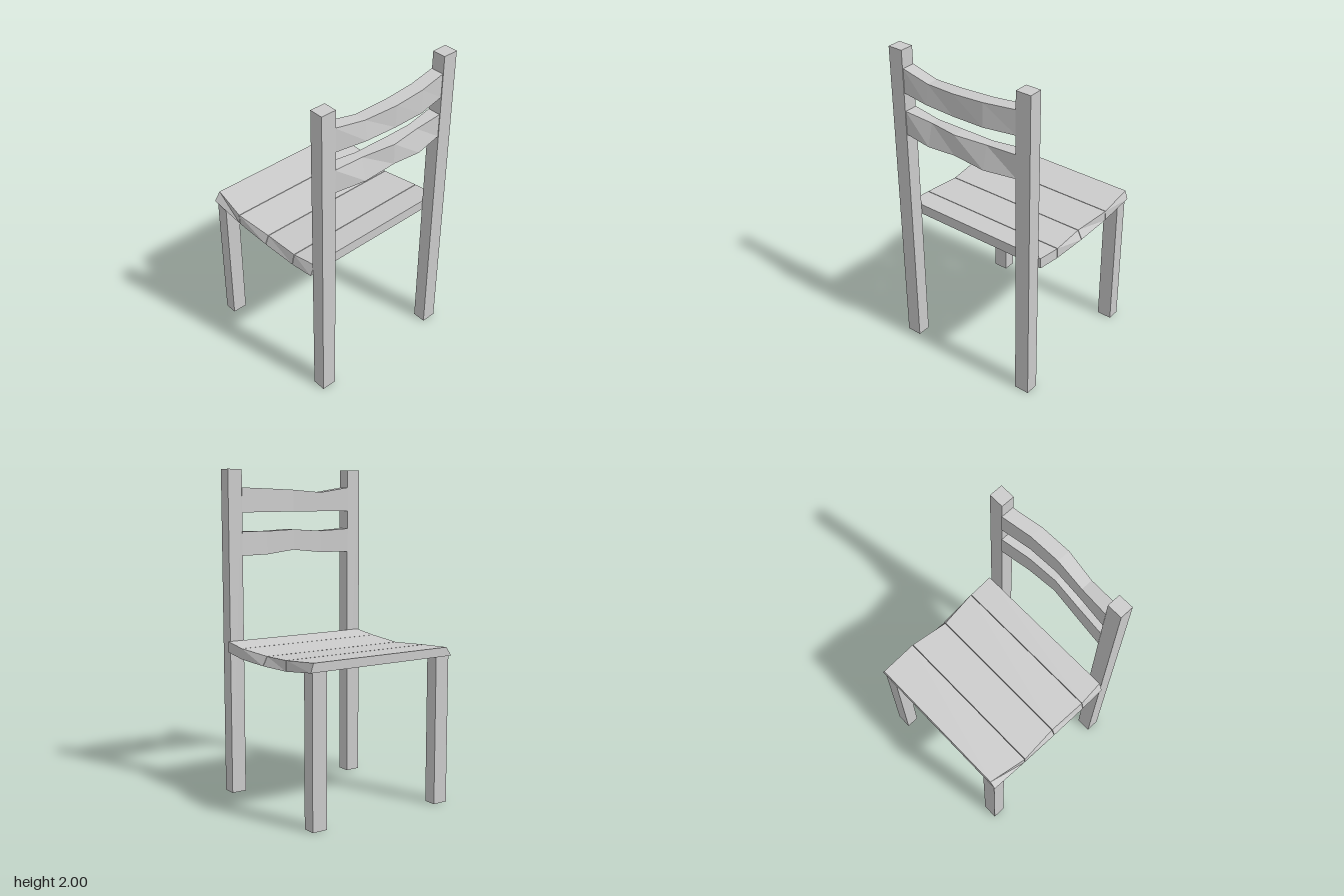
import * as THREE from 'three';

const material = new THREE.MeshStandardMaterial({ color: 0xcccccc, flatShading: true });

// Solid skinned over a row of four-cornered sections, capped at both ends.
// Corners run counter-clockwise when seen from the last section.
function loft(name, sections) {
  const pos = [];
  const quad = (a, b, c, d) => pos.push(...a, ...b, ...c, ...a, ...c, ...d);
  for (let i = 0; i < sections.length - 1; i++) {
    const s = sections[i], t = sections[i + 1];
    for (let k = 0; k < 4; k++) {
      const n = (k + 1) % 4;
      quad(s[k], s[n], t[n], t[k]);
    }
  }
  const first = sections[0], last = sections[sections.length - 1];
  quad(first[3], first[2], first[1], first[0]);
  quad(...last);
  const geometry = new THREE.BufferGeometry();
  geometry.setAttribute('position', new THREE.Float32BufferAttribute(pos, 3));
  geometry.computeVertexNormals();
  const mesh = new THREE.Mesh(geometry, material);
  mesh.name = name;
  return mesh;
}

// Square post standing on the floor
function post(name, x, z, height, depth) {
  const mesh = new THREE.Mesh(new THREE.BoxGeometry(0.095, height, depth), material);
  mesh.position.set(x, height / 2, z);
  mesh.name = name;
  return mesh;
}

// Seat plank: two end sections, the top narrower than the bottom.
// Each edge is { z, top, bottom, left, right }; left and right are top corners.
function plank(name, a, b) {
  const end = (side, xa, xb) => [
    [side * 0.503, a.bottom, a.z], [xa, a.top, a.z],
    [xb, b.top, b.z], [side * 0.503, b.bottom, b.z],
  ];
  return loft(name, [end(-1, a.right, b.right), end(1, a.left, b.left)]);
}

// Curved back slat, one section per x station
function slat(name, top, bottom, outerTopZ) {
  const xs = [-0.395, -0.2, 0, 0.2, 0.395];
  const innerZ = [0.387, 0.41, 0.428, 0.42, 0.387];
  const outerZ = [0.47, 0.503, 0.513, 0.51, 0.47];
  return loft(name, xs.map((x, i) => [
    [x, bottom[i], innerZ[i]], [x, top[i], innerZ[i]],
    [x, top[i], outerTopZ[i]], [x, bottom[i], outerZ[i]],
  ]));
}

export function createModel() {
  const chair = new THREE.Group();
  chair.name = 'chair';

  // Tall back posts and short front legs
  for (const [side, s] of [['left', 1], ['right', -1]]) {
    chair.add(post(`${side}BackPost`, s * 0.4405, 0.432, 2, 0.085));
    chair.add(post(`${side}FrontLeg`, s * 0.4405, -0.465, 0.9, 0.08));
  }

  // Dished seat of four planks with thin gaps between them
  const edges = [
    { z: -0.513, top: 0.954, bottom: 0.9, left: 0.485, right: -0.465 },
    { z: -0.267, top: 0.935, bottom: 0.872, left: 0.502, right: -0.502 },
    { z: -0.018, top: 0.921, bottom: 0.866, left: 0.475, right: -0.48 },
    { z: 0.226, top: 0.937, bottom: 0.872, left: 0.502, right: -0.487 },
    { z: 0.387, top: 0.959, bottom: 0.893, left: 0.502, right: -0.475 },
  ];
  const seat = new THREE.Group();
  seat.name = 'seat';
  for (let i = 0; i < 4; i++) {
    const a = { ...edges[i] }, b = { ...edges[i + 1] };
    if (i > 0) a.z += 0.002;
    if (i < 3) b.z -= 0.002;
    seat.add(plank(`seatPlank${i + 1}`, a, b));
  }
  chair.add(seat);

  // Bowed backrest slats
  chair.add(slat('upperBackSlat',
    [1.89, 1.86, 1.876, 1.884, 1.89], [1.74, 1.74, 1.74, 1.74, 1.74],
    [0.47, 0.485, 0.513, 0.505, 0.47]));
  chair.add(slat('lowerBackSlat',
    [1.626, 1.615, 1.628, 1.622, 1.626], [1.478, 1.478, 1.5, 1.478, 1.478],
    [0.47, 0.467, 0.511, 0.48, 0.47]));

  return chair;
}
